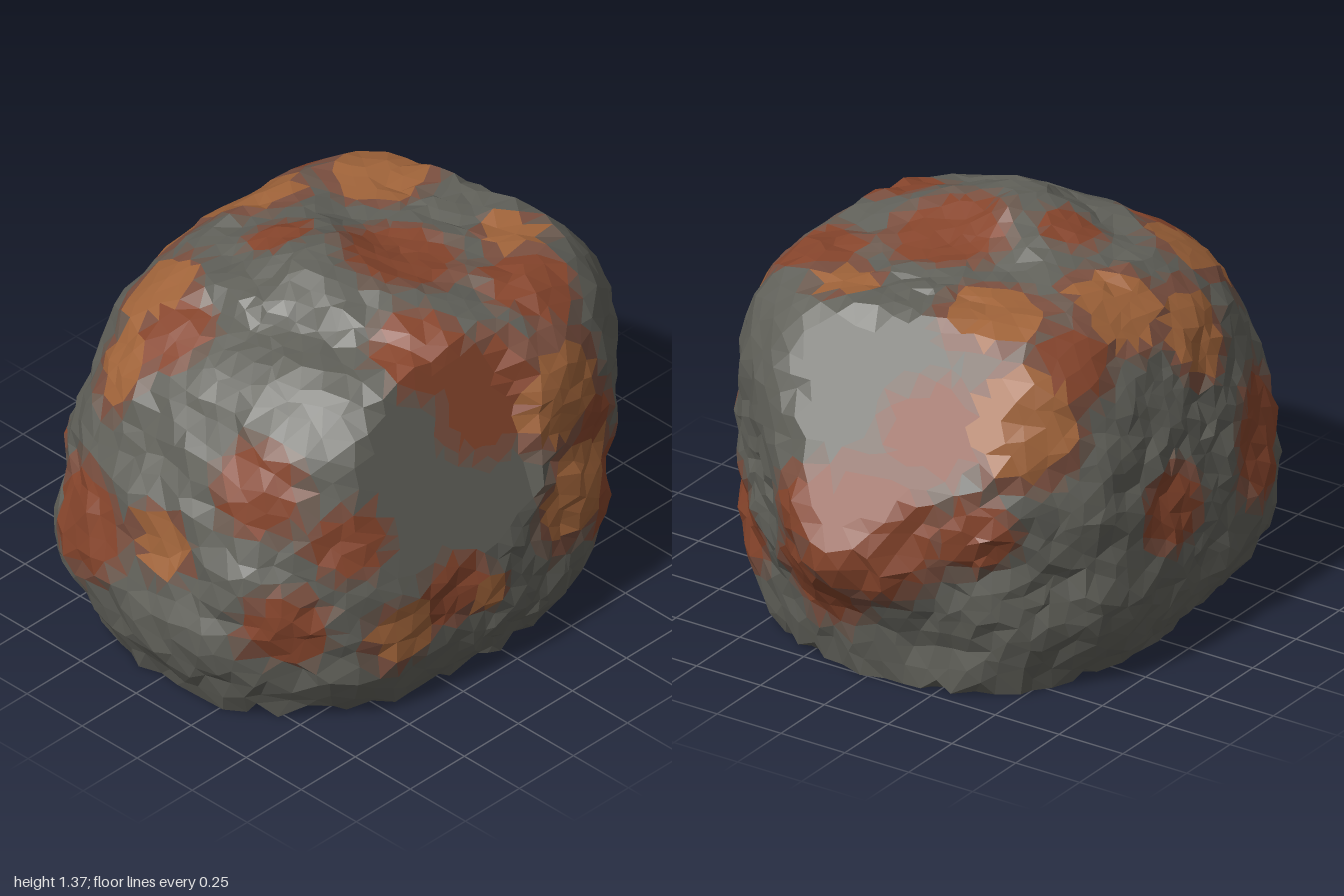
import * as THREE from 'three';
import { mergeVertices } from 'three/addons/utils/BufferGeometryUtils.js';

const CORE = new THREE.Vector3(0, 0.55, 0); // rays to the surface start here

// Side profile: height, left-hand x, right-hand x, back z, front z
const LEVELS = [
  [0, 0.88, 0.74, 0.61, 0.65], [0.08, 0.92, 0.75, 0.69, 0.71], [0.2, 0.97, 0.75, 0.75, 0.76],
  [0.35, 0.99, 0.78, 0.77, 0.77], [0.55, 0.96, 0.82, 0.76, 0.77], [0.75, 0.91, 0.83, 0.73, 0.77],
  [0.9, 0.84, 0.83, 0.69, 0.76], [1.05, 0.76, 0.79, 0.64, 0.73], [1.15, 0.64, 0.74, 0.57, 0.68],
  [1.22, 0.52, 0.67, 0.48, 0.61], [1.27, 0.46, 0.6, 0.4, 0.53], [1.4, 0.38, 0.4, 0.28, 0.4],
];

// Weathered patches: x, y, z, radius
const OCHRE = [
  [0.22, 0.95, 0.72, 0.18], [0.32, 0.52, 0.74, 0.2], [-0.48, 0.34, 0.7, 0.12], [-0.15, 0.36, 0.76, 0.07],
  [-0.5, 1.18, -0.4, 0.14], [0.05, 1.2, -0.5, 0.16], [0.38, 1.22, -0.25, 0.16], [0.58, 0.98, -0.5, 0.18],
  [-0.65, 0.95, -0.3, 0.15], [-0.2, 1.02, -0.6, 0.15], [-0.95, 0.6, 0.05, 0.11], [0.45, 1.23, 0.28, 0.1],
];
const RUST = [
  [-0.78, 0.88, 0.35, 0.14], [-0.82, 0.42, 0.5, 0.13], [0.58, 0.36, 0.62, 0.18], [-0.15, 1.34, -0.2, 0.1],
  [0.05, 1.25, 0.15, 0.18], [0.9, 0.6, -0.1, 0.22], [0.85, 0.62, 0.12, 0.14], [-0.03, 1.02, 0.63, 0.18],
  [-0.3, 0.43, 0.74, 0.12], [-0.9, 0.5, -0.3, 0.18], [-0.5, 0.55, -0.68, 0.2], [-0.6, 1.12, -0.2, 0.12],
  [0.1, 0.55, -0.75, 0.13], [0.82, 0.36, 0.12, 0.16], [0.66, 0.9, -0.22, 0.16], [-0.62, 0.72, 0.58, 0.12],
  [0.35, 1.12, -0.55, 0.12], [0.4, 0.72, 0.72, 0.12], [0.3, 1.2, 0.5, 0.14], [-0.2, 1.2, 0.5, 0.14],
  [0.8, 0.62, -0.45, 0.13],
];

// Repeatable scatter in -1..1
function scatter(i, k) {
  const s = Math.sin(i * 127.1 + k * 311.7) * 43758.5453;
  return (s - Math.floor(s)) * 2 - 1;
}

function levelAt(y) {
  let k = 0;
  while (k < LEVELS.length - 2 && LEVELS[k + 1][0] < y) k++;
  const a = LEVELS[k], b = LEVELS[k + 1];
  const t = THREE.MathUtils.clamp((y - a[0]) / (b[0] - a[0]), 0, 1);
  return a.map((v, i) => v + (b[i] - v) * t);
}

// Height of the top: a low table with a ridge, and a shelf stepping down on one side
function topHeight(x, z) {
  const slope = Math.max(0, 1 - (z > 0 ? z / 0.6 : -z / 0.36));
  const ridge = 0.135 * slope * Math.exp(-(((x + 0.16) / 0.21) ** 2));
  const shelf = THREE.MathUtils.smoothstep(-0.44 + Math.max(0, z) * 0.55 - x, 0, 0.05) * 0.05;
  return 1.245 + ridge - (z > -0.35 ? shelf : 0);
}

function isInside(p, swell) {
  const { x, y, z } = p;
  if (y < 0 || y > topHeight(x, z) + (swell - 1) * 0.6) return false;

  // Flat cleavage face on the +x side
  if (x > 1.33 - 0.618 * y + 0.219 * z) return false;

  // Flat cleavage face in front, ending at an upright step
  const step = Math.max(0, x - 0.06) * 3;
  if (z > 0.555 + (1.2 - y) * 0.28 + (x + 0.35) * 0.13 + step) return false;

  // Rounded block with a shoulder jutting out under the side face
  const [, left, right, back, front] = levelAt(y);
  const shoulder = 0.18 * Math.exp(-(((z - 0.02) / 0.27) ** 2) - ((y - 0.52) / 0.25) ** 2);
  const ex = (x < 0 ? left : right + shoulder) * swell;
  const crack = Math.abs(x - 0.34 + y * 0.22) < 0.03 && z > 0 && y < 0.75 ? 0.03 : 0;
  const ez = (z < 0 ? back : front - crack) * swell;
  return Math.abs(x / ex) ** 2.55 + Math.abs(z / ez) ** 2.55 < 1;
}

// Walk out from the core to the surface
function surfacePoint(direction, index) {
  const d = direction.clone();
  d.x += scatter(index, 1) * 0.022;
  d.y += scatter(index, 2) * 0.022;
  d.z += scatter(index, 3) * 0.022;
  d.normalize();
  const broad = Math.sin(d.x * 8 + d.y * 5) * Math.sin(d.z * 9 - d.y * 7 + 1);
  const fine = Math.sin(d.x * 19 - d.z * 8) * Math.sin(d.y * 17 + d.z * 12);
  const swell = 1 + broad * 0.018 + fine * 0.014 + scatter(index, 4) * 0.012;
  const p = new THREE.Vector3();
  let near = 0.2, far = 1.6;
  for (let i = 0; i < 22; i++) {
    const r = (near + far) / 2;
    p.copy(CORE).addScaledVector(d, r);
    if (isInside(p, swell)) near = r;
    else far = r;
  }
  p.copy(CORE).addScaledVector(d, near);
  if (p.y < 0.035) p.y = 0; // crisp rim to the base
  return p;
}

// Strength of the closest patch, fading at its rim
function patch(list, p) {
  return Math.max(...list.map(([x, y, z, r]) => 1 - Math.hypot(p.x - x, p.y - y, p.z - z) / (r * 1.4)));
}

function toneOf(p) {
  const ochre = patch(OCHRE, p), rust = patch(RUST, p);
  const most = Math.max(ochre, rust);
  if (most < 0.03) return 'stone';
  if (most < 0.15) return 'faintStain';
  if (most < 0.3) return 'strongStain';
  return ochre > rust ? 'ochrePatches' : 'rustPatches';
}

export function createModel() {
  const group = new THREE.Group();
  group.name = 'boulder';
  const tones = {
    stone: 0x61615a, faintStain: 0x6c5b50, strongStain: 0x7c5040, rustPatches: 0x87452c, ochrePatches: 0xa1643a,
  };
  const faces = Object.fromEntries(Object.keys(tones).map((name) => [name, []]));

  // Shared points of an even sphere, each moved onto the rock surface
  let sphere = new THREE.IcosahedronGeometry(1, 15);
  sphere.deleteAttribute('normal');
  sphere.deleteAttribute('uv');
  sphere = mergeVertices(sphere, 1e-4);
  const position = sphere.getAttribute('position');
  const points = [];
  for (let i = 0; i < position.count; i++) {
    points.push(surfacePoint(new THREE.Vector3().fromBufferAttribute(position, i), i));
  }

  // Sort the triangles by tone
  const index = sphere.getIndex();
  for (let i = 0; i < index.count; i += 3) {
    const corners = [0, 1, 2].map((k) => points[index.getX(i + k)]);
    const centre = new THREE.Vector3();
    corners.forEach((c) => centre.addScaledVector(c, 1 / 3));
    faces[toneOf(centre)].push(...corners);
  }

  // One mesh for each tone of stone
  for (const name of Object.keys(tones)) {
    const geometry = new THREE.BufferGeometry().setFromPoints(faces[name]);
    geometry.computeVertexNormals();
    const material = new THREE.MeshStandardMaterial({ color: tones[name], flatShading: true });
    const mesh = new THREE.Mesh(geometry, material);
    mesh.name = name;
    group.add(mesh);
  }
  return group;
}
